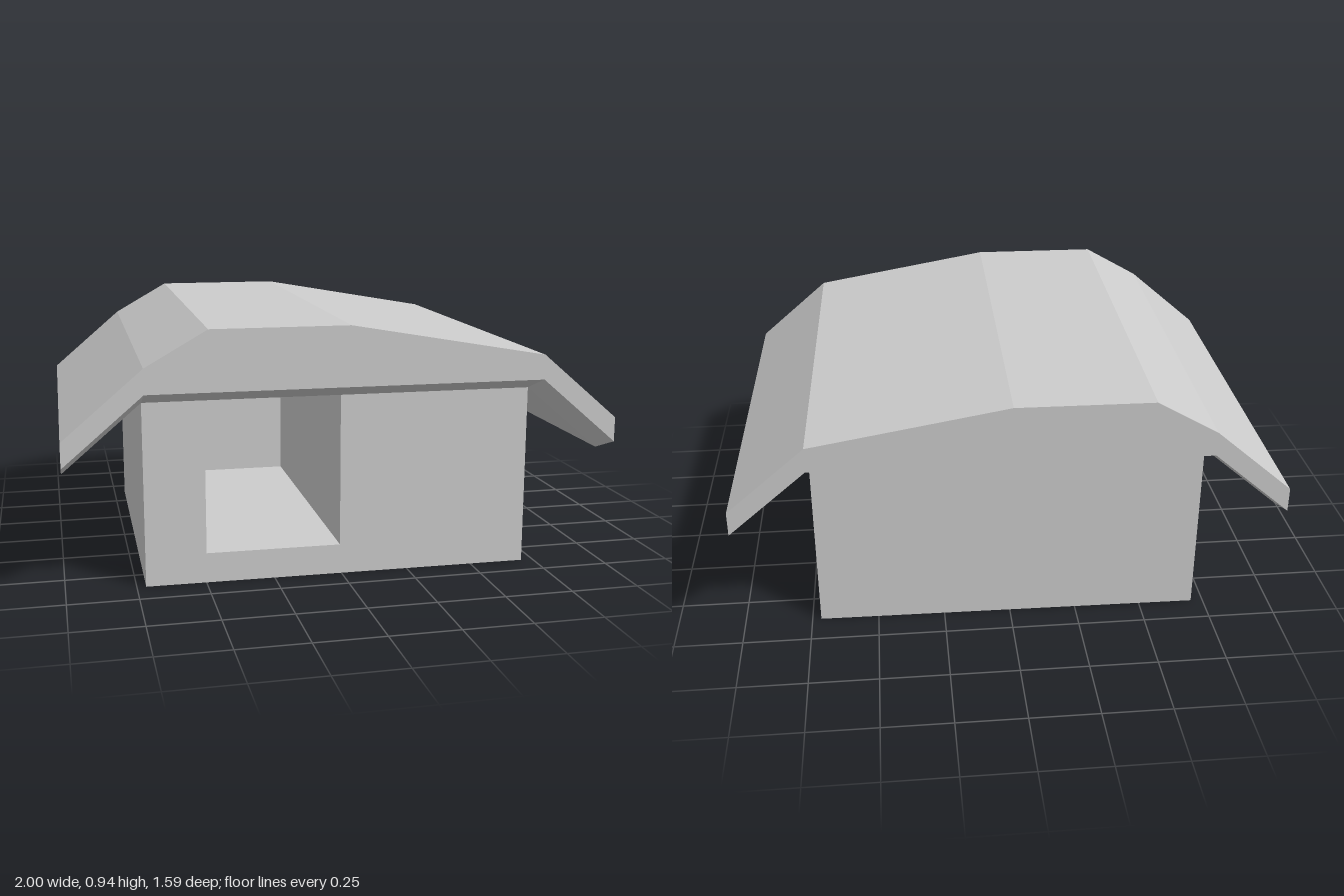
import * as THREE from 'three';

const HALF_DEPTH = 0.785; // roof half length
const WALL_Z = 0.637;     // body half depth
const POCKET_BACK = -0.53; // rear end of the room behind the doorway

const shapeFrom = (pts) => new THREE.Shape(pts.map(([x, y]) => new THREE.Vector2(x, y)));

export function createModel() {
  const grey = new THREE.MeshStandardMaterial({ color: 0xcccccc });
  grey.name = 'plain grey';
  const group = new THREE.Group();
  group.name = 'shelter';

  const add = (name, geometry) => {
    const mesh = new THREE.Mesh(geometry, grey);
    mesh.name = name;
    group.add(mesh);
    return mesh;
  };

  // Walls and floor, notched for the doorway and the room behind it
  const walls = new THREE.ExtrudeGeometry(shapeFrom([
    [-0.711, 0], [0.711, 0], [0.711, 0.67], [0, 0.67],
    [0, 0.11], [-0.492, 0.11], [-0.492, 0.67], [-0.711, 0.67],
  ]), { depth: WALL_Z - POCKET_BACK, bevelEnabled: false });
  add('walls', walls.translate(0, 0, POCKET_BACK));

  // Solid back wall closing the room
  const backDepth = WALL_Z + POCKET_BACK;
  add('backWall', new THREE.BoxGeometry(1.422, 0.67, backDepth))
    .position.set(0, 0.335, -WALL_Z + backDepth / 2);

  // Roof: lopsided ridge, drooping eaves
  const roof = new THREE.ExtrudeGeometry(shapeFrom([
    [-0.992, 0.485], [-0.711, 0.725], [0.711, 0.725], [0.992, 0.485],
    [0.992, 0.575], [0.711, 0.815], [0, 0.94], [-0.492, 0.94],
    [-0.711, 0.815], [-0.992, 0.575],
  ]), { depth: 2 * HALF_DEPTH, steps: 3, bevelEnabled: false });
  roof.translate(0, 0, -HALF_DEPTH);
  // Thicken the underside between the walls so the overhangs taper to the ends
  const pos = roof.attributes.position;
  for (let i = 0; i < pos.count; i++) {
    const z = pos.getZ(i), y = pos.getY(i);
    if (Math.abs(z) > 0.5) continue;
    pos.setZ(i, Math.sign(z) * WALL_Z);
    if (Math.abs(y - 0.485) < 0.01 || Math.abs(y - 0.725) < 0.01) pos.setY(i, y - 0.055);
  }
  roof.computeVertexNormals();
  add('roof', roof);

  // The whole building stands very slightly turned
  group.rotation.y = -0.0097;
  return group;
}
